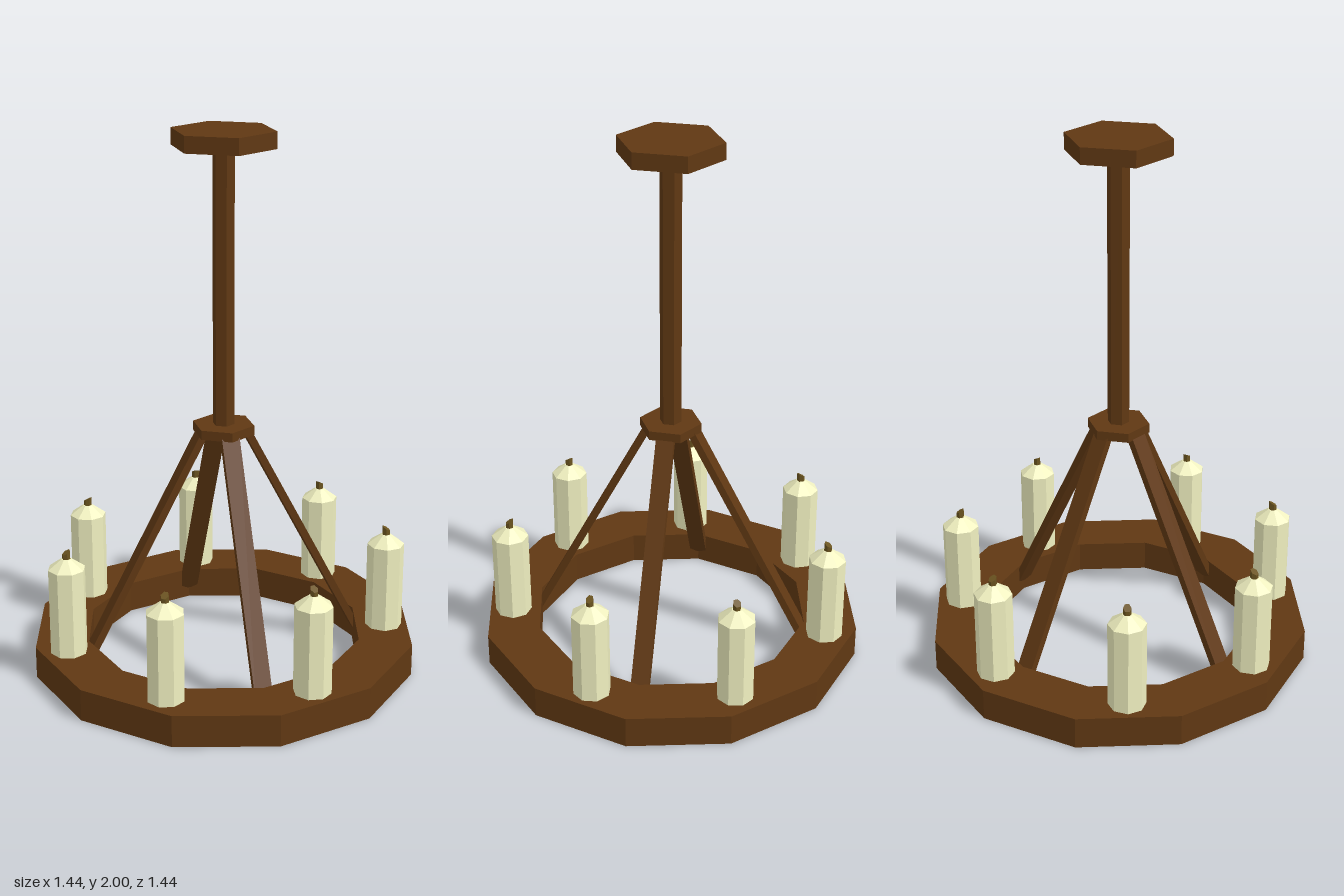
import * as THREE from 'three';

const mat = (color) => new THREE.MeshStandardMaterial({ color, flatShading: true });

export function createModel() {
  const wood = mat(0x603813), wax = mat(0xf0f0c0), wickMat = mat(0x6b5420);
  const model = new THREE.Group();

  const add = (parent, name, geometry, material) => {
    const mesh = new THREE.Mesh(geometry, material);
    mesh.name = name;
    parent.add(mesh);
    return mesh;
  };
  // upright prism or frustum between two heights
  const prism = (rTop, rBottom, y0, y1, sides) =>
    new THREE.CylinderGeometry(rTop, rBottom, y1 - y0, sides).translate(0, (y0 + y1) / 2, 0);

  // twelve-sided wooden ring
  const section = [[0.52, 0], [0.72, 0], [0.72, 0.12], [0.52, 0.12], [0.52, 0]];
  add(model, 'ring', new THREE.LatheGeometry(section.map(([r, y]) => new THREE.Vector2(r, y)), 12), wood);

  // ceiling plate, rod and hub, all hexagonal
  add(model, 'ceilingPlate', prism(0.19, 0.19, 1.94, 2, 6), wood);
  add(model, 'rod', prism(0.04, 0.04, 0.92, 1.95, 6), wood);
  add(model, 'hub', prism(0.115, 0.115, 0.895, 0.93, 6), wood);

  // four slanted struts from the hub into the ring
  const top = new THREE.Vector2(0.078, 0.91), bottom = new THREE.Vector2(0.53, 0.045);
  const span = top.clone().sub(bottom);
  for (let i = 0; i < 4; i++) {
    const pivot = new THREE.Group();
    pivot.name = 'strut' + (i + 1);
    pivot.rotation.y = i * Math.PI / 2;
    const bar = add(pivot, 'strutBar', new THREE.BoxGeometry(0.027, span.length(), 0.066), wood);
    bar.position.set((top.x + bottom.x) / 2, (top.y + bottom.y) / 2, 0);
    bar.rotation.z = Math.atan2(-span.x, span.y);
    model.add(pivot);
  }

  // wick with a slanted top, higher towards the middle of the ring
  const wickGeometry = prism(0.015, 0.015, 0.47, 0.512, 6);
  const p = wickGeometry.attributes.position;
  for (let i = 0; i < p.count; i++) {
    if (p.getY(i) > 0.5) p.setY(i, p.getY(i) - p.getX(i) * 0.6);
  }
  const bodyGeometry = prism(0.069, 0.069, 0.12, 0.45, 8);
  const shoulderGeometry = prism(0.018, 0.069, 0.45, 0.488, 8);

  // seven candles, spaced 50 degrees apart
  for (let i = 0; i < 7; i++) {
    const angle = THREE.MathUtils.degToRad(75 + 50 * i);
    const candle = new THREE.Group();
    candle.name = 'candle' + (i + 1);
    candle.position.set(0.607 * Math.cos(angle), 0, 0.607 * Math.sin(angle));
    candle.rotation.y = -angle;
    add(candle, 'candleBody', bodyGeometry, wax);
    add(candle, 'candleShoulder', shoulderGeometry, wax);
    add(candle, 'wick', wickGeometry, wickMat);
    model.add(candle);
  }
  return model;
}
